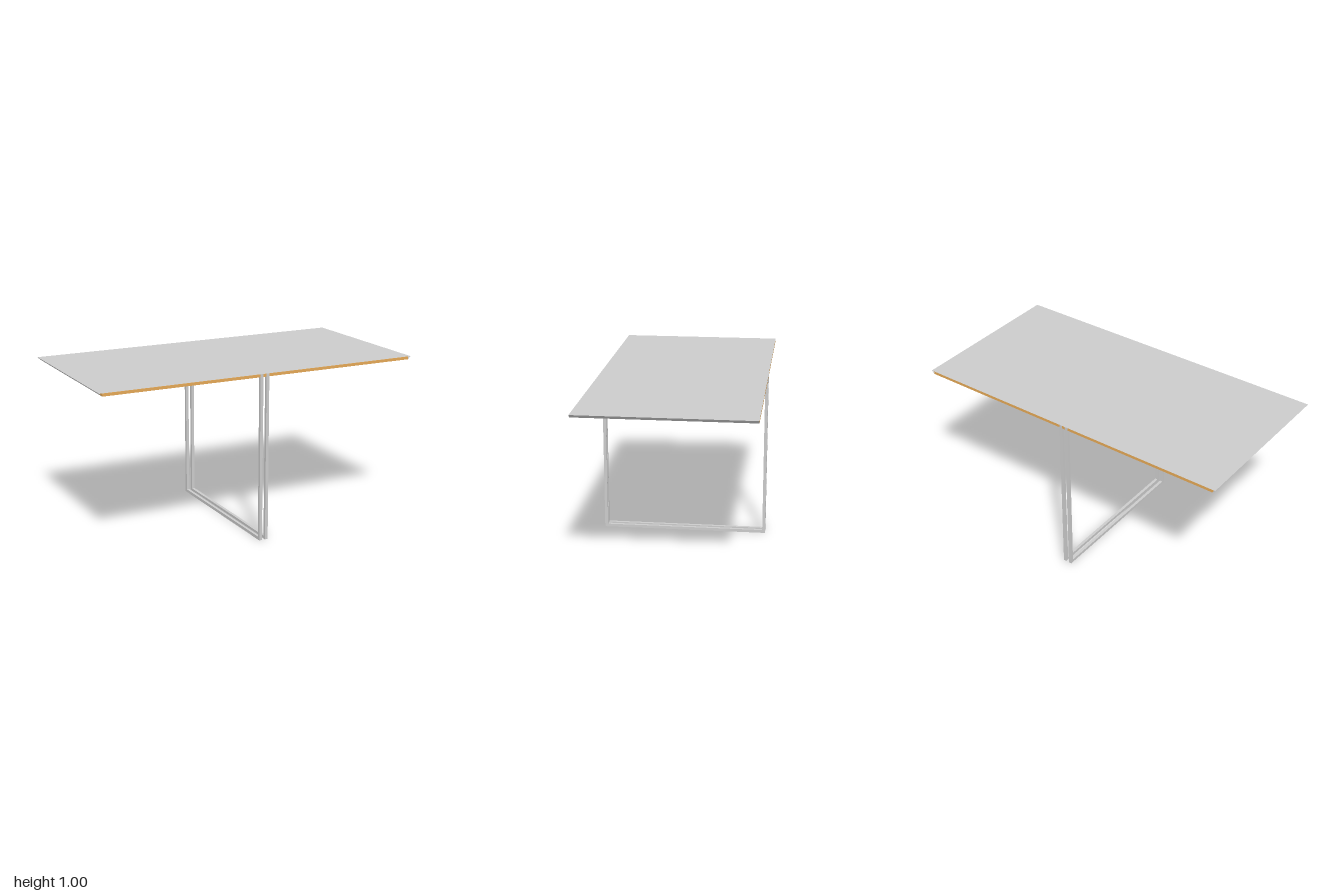
import * as THREE from 'three';

const T = 0.018; // thickness of the panel and of the frame bars
const grey = new THREE.MeshStandardMaterial({ color: 0xcccccc, side: THREE.DoubleSide });
const wood = new THREE.MeshStandardMaterial({ color: 0xe5a957 });

function add(group, name, geometry, material, x = 0, y = 0, z = 0) {
  const mesh = new THREE.Mesh(geometry, material);
  mesh.name = name;
  mesh.position.set(x, y, z);
  group.add(mesh);
}

// Flat quad from four corners, counter-clockwise seen from its front
function quad(...corners) {
  const g = new THREE.BufferGeometry();
  g.setAttribute('position', new THREE.Float32BufferAttribute(corners.flat(), 3));
  g.setIndex([0, 1, 2, 0, 2, 3]);
  g.computeVertexNormals();
  return g;
}

// Closed square loop standing in the YZ plane
function frameGeometry() {
  const shape = new THREE.Shape();
  shape.moveTo(-0.5, 0).lineTo(0.5, 0).lineTo(0.5, 0.9995).lineTo(-0.5, 0.9995).closePath();
  const hole = new THREE.Path();
  const i = 0.5 - T;
  hole.moveTo(-i, T).lineTo(-i, 1 - T).lineTo(i, 1 - T).lineTo(i, T).closePath();
  shape.holes.push(hole);
  const g = new THREE.ExtrudeGeometry(shape, { depth: T, bevelEnabled: false });
  return g.translate(0, 0, -T / 2).rotateY(Math.PI / 2);
}

export function createModel() {
  const model = new THREE.Group();
  model.name = 'table';

  // Wooden board under a thin grey skin
  add(model, 'board', new THREE.BoxGeometry(2 * (1 - T), T - 0.001, 0.998), wood, 0, 1 - T / 2 - 0.0005, 0);
  add(model, 'topSkin', quad([-1, 1, 0.5], [1, 1, 0.5], [1, 1, -0.5], [-1, 1, -0.5]), grey);

  for (const s of [1, -1]) {
    const side = s > 0 ? 'left' : 'right';
    // Undercut end of the skin, sloping in below the board's edge
    add(model, side + 'EndSkin', quad(
      [s, 1, 0.5 * s], [s * (1 - T), 1 - T, 0.5 * s],
      [s * (1 - T), 1 - T, -0.5 * s], [s, 1, -0.5 * s]), grey);
    // Twin loop frames standing close together at the middle
    add(model, side + 'Frame', frameGeometry(), grey, s * 0.019, 0, 0);
  }
  return model;
}
